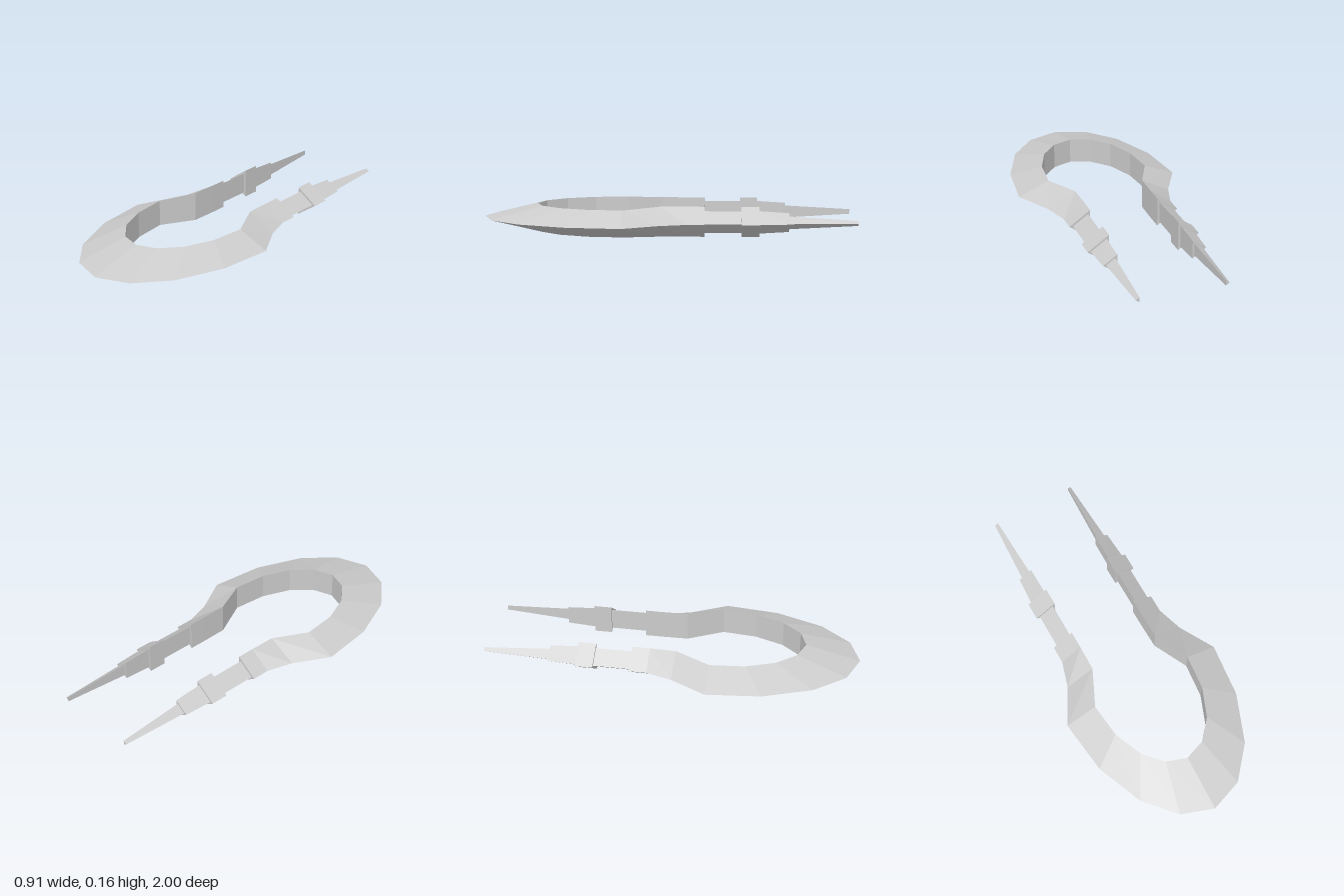
import * as THREE from 'three';

const MID_Y = 0.083;
const material = new THREE.MeshStandardMaterial({ color: 0xcccccc, flatShading: true });

// A section is [innerX, innerZ, outerX, outerZ, halfHeight]:
// a triangle with an upright inner wall and a sharp outer edge.
const ring = ([ix, iz, ox, oz, h]) => [
  [ix, MID_Y + h, iz],
  [ox, MID_Y, oz],
  [ix, MID_Y - h, iz],
];

// Mirrored sections run the other way, which keeps the faces outward
const mirror = (sections) =>
  sections.map(([ix, iz, ox, oz, h]) => [-ix, iz, -ox, oz, h]).reverse();

// Faceted, capped loft through triangular sections
function loft(name, sections) {
  const rings = sections.map(ring);
  const pos = [];
  const tri = (...pts) => pts.forEach((p) => pos.push(...p));
  for (let i = 0; i < rings.length - 1; i++) {
    const a = rings[i], b = rings[i + 1];
    for (let j = 0; j < 3; j++) {
      const k = (j + 1) % 3;
      tri(a[j], b[j], a[k]);
      tri(a[k], b[j], b[k]);
    }
  }
  const first = rings[0], last = rings[rings.length - 1];
  tri(first[0], first[1], first[2]);
  tri(last[2], last[1], last[0]);
  const geometry = new THREE.BufferGeometry();
  geometry.setAttribute('position', new THREE.Float32BufferAttribute(pos, 3));
  geometry.computeVertexNormals();
  const mesh = new THREE.Mesh(geometry, material);
  mesh.name = name;
  return mesh;
}

// Straight prong piece between two depths, from back to front
const straight = (z0, in0, out0, h0, z1, in1 = in0, out1 = out0, h1 = h0) => [
  [in0, z0, out0, z0, h0],
  [in1, z1, out1, z1, h1],
];

export function createModel() {
  const group = new THREE.Group();
  group.name = 'horseshoePincer';

  // Curved bow: left half from the neck to the front, then its mirror
  const half = [
    [0.19, -0.195, 0.305, -0.195, 0.08],
    [0.19, -0.1, 0.305, -0.1, 0.08],
    [0.193, 0.04, 0.348, 0.04, 0.08],
    [0.283, 0.23, 0.453, 0.23, 0.071],
    [0.264, 0.415, 0.42, 0.52, 0.071],
    [0.202, 0.57, 0.318, 0.775, 0.071],
    [0.11, 0.672, 0.175, 0.938, 0.071],
  ];
  const front = [0, 0.71, 0, 1, 0.071];
  group.add(loft('bow', [...half, front, ...mirror(half)]));

  // Stepped prong pieces on each side
  const pieces = {
    Shaft: straight(-0.4, 0.202, 0.285, 0.058, -0.19),
    Collar: straight(-0.485, 0.19, 0.305, 0.08, -0.39),
    Socket: straight(-0.64, 0.203, 0.278, 0.05, -0.48, 0.202, 0.288, 0.06),
    Spike: straight(-1, 0.224, 0.243, 0.013, -0.635, 0.213, 0.262, 0.034),
  };
  for (const [name, sections] of Object.entries(pieces)) {
    group.add(loft('left' + name, sections));
    group.add(loft('right' + name, mirror(sections)));
  }
  return group;
}
